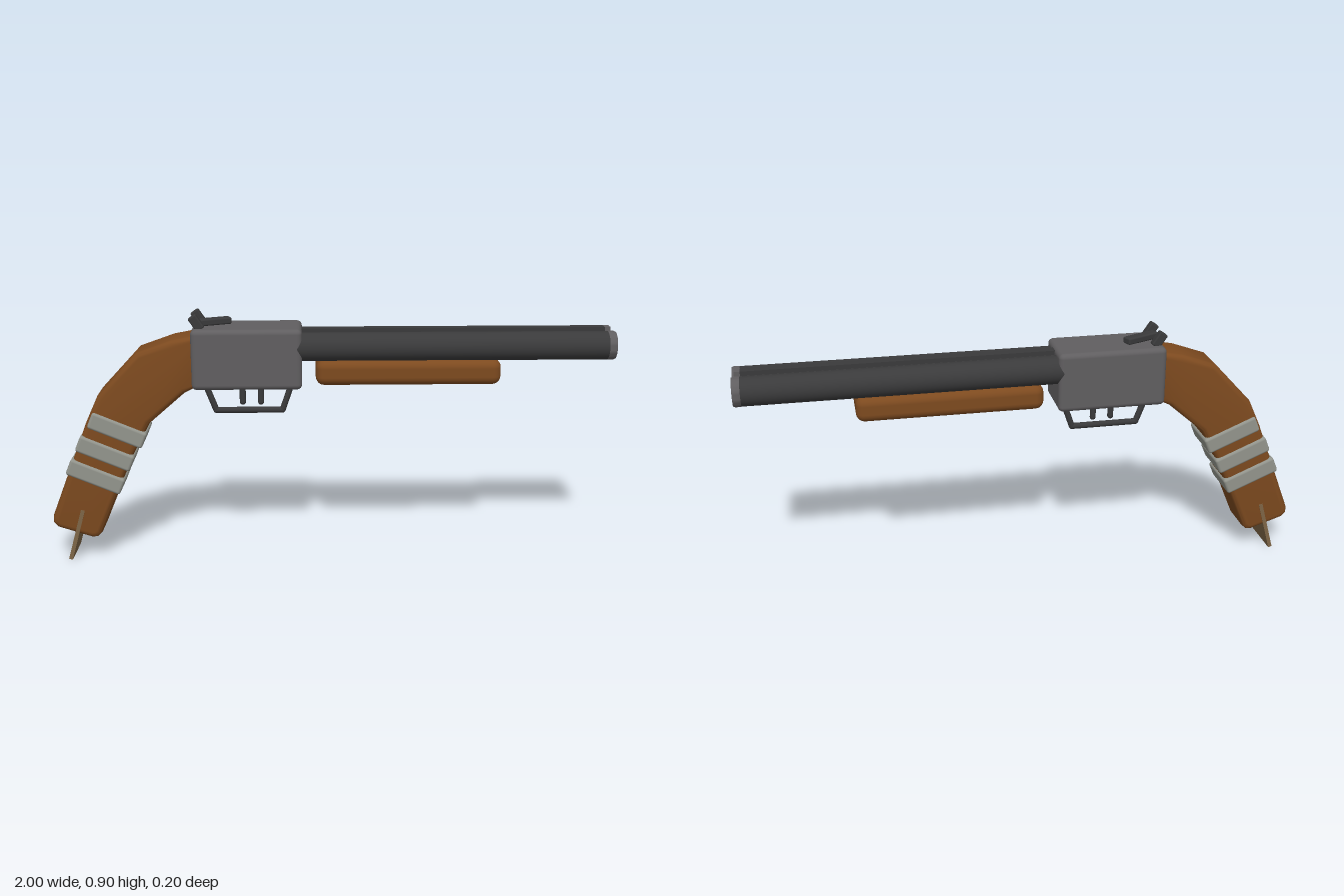
import * as THREE from 'three';
import { toCreasedNormals } from 'three/addons/utils/BufferGeometryUtils.js';
import { RoundedBoxGeometry } from 'three/addons/geometries/RoundedBoxGeometry.js';

const material = (name, color) => {
  const m = new THREE.MeshStandardMaterial({ color });
  m.name = name;
  return m;
};

export function createModel() {
  const steel = material('grey steel', 0x605e60);
  const dark = material('dark metal', 0x3a3a3b);
  const wood = material('wood', 0x7d4a1f);
  const wrap = material('wrap tape', 0x92948c);
  const bark = material('strap end', 0x7d6546);

  const model = new THREE.Group();
  model.name = 'shotgun';
  const add = (name, geometry, mat, x = 0, y = 0, z = 0) => {
    const mesh = new THREE.Mesh(geometry, mat);
    mesh.name = name;
    mesh.position.set(x, y, z);
    model.add(mesh);
    return mesh;
  };
  const rounded = (w, h, d, r) => new RoundedBoxGeometry(w, h, d, 3, r);

  // Receiver block and wooden fore-end
  add('receiver', rounded(0.385, 0.213, 0.2, 0.018), steel, -0.29, 0.742, 0);
  add('foreEnd', rounded(0.65, 0.09, 0.174, 0.03), wood, 0.275, 0.69, 0);

  // Twin barrels with softened muzzle rims
  const muzzleProfile = [[0.05, 0], [0.051, 0.004], [0.051, 0.02], [0.048, 0.027], [0, 0.028]]
    .map(([r, y]) => new THREE.Vector2(r, y));
  const muzzleGeometry = toCreasedNormals(new THREE.LatheGeometry(muzzleProfile, 40), 0.7);
  for (const z of [0.05, -0.05]) {
    const barrel = add('barrel', new THREE.CylinderGeometry(0.05, 0.05, 1.09, 40), dark, 0.43, 0.78, z);
    barrel.rotation.z = -Math.PI / 2;
    const muzzle = add('muzzle', muzzleGeometry, steel, 0.972, 0.78, z);
    muzzle.rotation.z = -Math.PI / 2;
  }

  // Sighting rib between the barrels
  add('rib', new THREE.BoxGeometry(1.08, 0.016, 0.036), dark, 0.43, 0.83, 0);
  add('ribTip', new THREE.BoxGeometry(0.02, 0.016, 0.036), steel, 0.98, 0.83, 0);

  // Curved grip, extruded sideways with rounded edges
  const outline = [
    [-0.46, 0.825], [-0.55, 0.808], [-0.672, 0.765], [-0.815, 0.612], [-0.86, 0.515],
    [-0.998, 0.165], [-0.998, 0.142], [-0.982, 0.124], [-0.862, 0.084], [-0.842, 0.085],
    [-0.826, 0.1], [-0.705, 0.385], [-0.637, 0.51], [-0.51, 0.62], [-0.46, 0.645],
  ].map(([x, y]) => new THREE.Vector2(x, y));
  const bevel = 0.02;
  const gripGeometry = new THREE.ExtrudeGeometry(new THREE.Shape(outline), {
    depth: 0.156 - 2 * bevel, bevelEnabled: true, bevelThickness: bevel,
    bevelSize: bevel, bevelOffset: -bevel, bevelSegments: 4,
  });
  gripGeometry.translate(0, 0, -0.078 + bevel);
  add('grip', toCreasedNormals(gripGeometry, 0.6), wood);

  // Tape wraps around the grip
  for (const [x, y] of [[-0.751, 0.488], [-0.798, 0.403], [-0.836, 0.317]]) {
    const band = add('gripWrap', rounded(0.205, 0.062, 0.172, 0.01), wrap, x, y, 0);
    band.rotation.z = -0.4;
  }

  // Flat strap hanging from the butt
  const strap = add('buttStrap', new THREE.BoxGeometry(0.014, 0.195, 0.161), bark, -0.915, 0.097, 0);
  strap.rotation.z = -0.28;

  // Trigger guard and two triggers
  const guard = new THREE.CurvePath();
  const corners = [[-0.445, 0.645], [-0.405, 0.54], [-0.168, 0.54], [-0.132, 0.645]]
    .map(([x, y]) => new THREE.Vector3(x, y, 0));
  for (let i = 0; i < 3; i++) guard.add(new THREE.LineCurve3(corners[i], corners[i + 1]));
  for (const segment of guard.curves) {
    add('triggerGuard', new THREE.TubeGeometry(segment, 1, 0.011, 10), dark);
  }
  for (const c of corners.slice(1, 3)) {
    add('guardCorner', new THREE.SphereGeometry(0.011, 10, 8), dark, c.x, c.y, 0);
  }
  for (const x of [-0.31, -0.245]) {
    add('trigger', new THREE.CapsuleGeometry(0.011, 0.07, 4, 12), dark, x, 0.605, 0);
  }

  // Hammers and top lever
  for (const z of [0.053, -0.053]) {
    const hammer = add('hammer', rounded(0.032, 0.055, 0.029, 0.005), dark, -0.463, 0.867, z);
    hammer.rotation.z = 0.6;
  }
  const lever = add('topLever', rounded(0.135, 0.024, 0.036, 0.006), dark, -0.412, 0.861, -0.004);
  lever.rotation.y = 0.42;

  return model;
}
